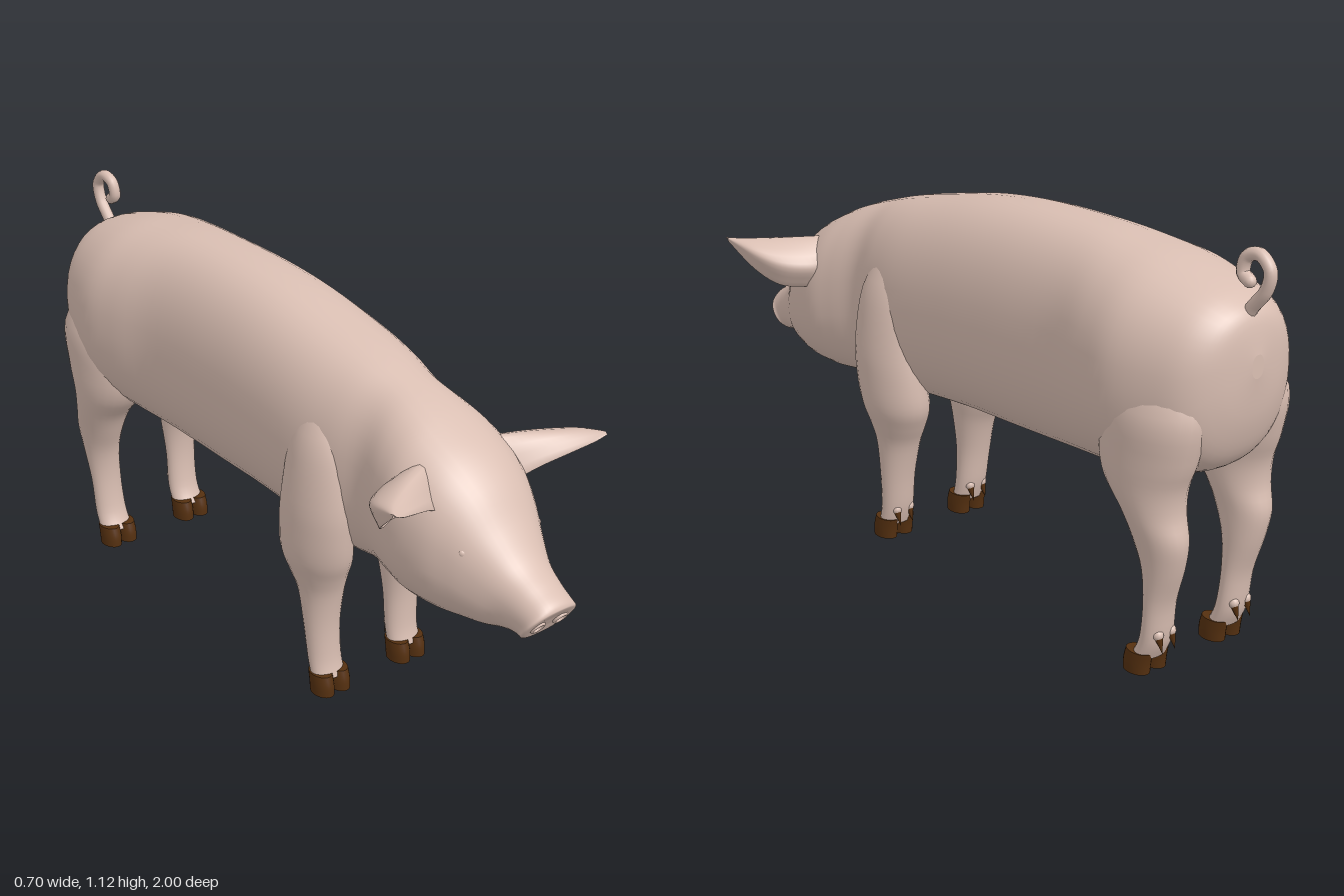
import * as THREE from 'three';

const skin = new THREE.MeshStandardMaterial({ color: 0xd9beb2 });
skin.name = 'pink skin';
const horn = new THREE.MeshStandardMaterial({ color: 0x553010 });
horn.name = 'brown hoof';

// Catmull-Rom through a list of parameter rows
function rowAt(rows, t) {
  const last = rows.length - 1;
  const i = Math.min(Math.floor(t), last - 1), f = t - i;
  const a = rows[Math.max(i - 1, 0)], b = rows[i], c = rows[i + 1], d = rows[Math.min(i + 2, last)];
  return b.map((_, k) => b[k] + 0.5 * f * (c[k] - a[k] +
    f * (2 * a[k] - 5 * b[k] + 4 * c[k] - d[k] + f * (3 * (b[k] - c[k]) + d[k] - a[k]))));
}

// Smooth skin over closed rings; ringOf turns a row into a list of points
function loft(rows, ringOf, steps = 4, flip = false) {
  const pos = [], idx = [];
  const tri = (a, b, c) => (flip ? idx.push(a, c, b) : idx.push(a, b, c));
  const count = (rows.length - 1) * steps;
  const rings = [];
  for (let i = 0; i <= count; i++) rings.push(ringOf(rowAt(rows, i / steps)));
  const n = rings[0].length;
  rings.forEach((r) => r.forEach((p) => pos.push(p.x, p.y, p.z)));
  for (let i = 0; i < count; i++) {
    for (let j = 0; j < n; j++) {
      const a = i * n + j, b = i * n + (j + 1) % n;
      tri(a, b, a + n);
      tri(b, b + n, a + n);
    }
  }
  // end caps with their own vertices
  [rings[0], rings[count]].forEach((r, end) => {
    const start = pos.length / 3;
    const mid = new THREE.Vector3();
    r.forEach((p) => { pos.push(p.x, p.y, p.z); mid.addScaledVector(p, 1 / n); });
    pos.push(mid.x, mid.y, mid.z);
    for (let j = 0; j < n; j++) {
      const a = start + j, b = start + (j + 1) % n;
      if (end) tri(a, b, start + n); else tri(b, a, start + n);
    }
  });
  const g = new THREE.BufferGeometry();
  g.setAttribute('position', new THREE.Float32BufferAttribute(pos, 3));
  g.setIndex(idx);
  g.computeVertexNormals();
  return g;
}

const around = (n, fn) => Array.from({ length: n }, (_, j) => {
  const a = (j / n) * Math.PI * 2;
  return fn(Math.cos(a), Math.sin(a));
});
const soften = (v) => Math.sign(v) * Math.abs(v) ** 0.88;

// Body rows: z, bottom, top, half width, forward lean
const bodyRows = [
  [-0.957, 0.80, 0.86, 0.02, 0], [-0.94, 0.68, 0.945, 0.11, 0], [-0.90, 0.58, 0.985, 0.175, 0],
  [-0.83, 0.53, 1.015, 0.215, 0], [-0.70, 0.49, 1.047, 0.247, 0], [-0.58, 0.475, 1.062, 0.235, 0],
  [-0.43, 0.46, 1.073, 0.208, 0], [-0.20, 0.45, 1.07, 0.205, 0], [0, 0.445, 1.05, 0.206, 0],
  [0.20, 0.43, 1.01, 0.205, 0], [0.33, 0.42, 0.98, 0.188, 0], [0.43, 0.42, 0.95, 0.165, 0],
  [0.52, 0.41, 0.92, 0.184, 0], [0.60, 0.405, 0.885, 0.2, 0], [0.69, 0.405, 0.835, 0.186, 0],
  [0.76, 0.41, 0.775, 0.155, 0], [0.82, 0.415, 0.69, 0.122, 0.05], [0.87, 0.425, 0.62, 0.095, 0.2],
  [0.915, 0.432, 0.58, 0.082, 0.45], [0.95, 0.434, 0.555, 0.078, 0.65], [0.964, 0.434, 0.54, 0.081, 0.7],
  [0.969, 0.445, 0.53, 0.066, 0.7], [0.966, 0.47, 0.505, 0.03, 0.7], [0.966, 0.485, 0.49, 0.004, 0.7],
];
const bodyRing = ([z, y0, y1, w, lean]) => around(40, (c, s) => {
  const dy = soften(s) * (y1 - y0) / 2;
  return new THREE.Vector3(soften(c) * w, (y0 + y1) / 2 + dy, z + lean * dy);
});

// Leg rows: y, z centre, z radius, x centre, x radius
const frontLegRows = [
  [0.85, 0.26, 0.06, 0.12, 0.05], [0.75, 0.27, 0.10, 0.145, 0.07], [0.60, 0.27, 0.12, 0.157, 0.08],
  [0.50, 0.262, 0.122, 0.158, 0.081], [0.42, 0.255, 0.115, 0.15, 0.083], [0.36, 0.255, 0.09, 0.143, 0.072],
  [0.30, 0.26, 0.066, 0.139, 0.06], [0.20, 0.265, 0.046, 0.14, 0.052], [0.10, 0.273, 0.038, 0.137, 0.05],
  [0.045, 0.287, 0.035, 0.136, 0.05],
];
const hindLegRows = [
  [0.86, -0.75, 0.11, 0.11, 0.06], [0.72, -0.765, 0.15, 0.14, 0.095], [0.60, -0.75, 0.148, 0.146, 0.094],
  [0.52, -0.748, 0.122, 0.15, 0.086], [0.45, -0.775, 0.09, 0.15, 0.075], [0.38, -0.80, 0.08, 0.148, 0.062],
  [0.30, -0.808, 0.057, 0.143, 0.053], [0.20, -0.797, 0.036, 0.139, 0.048], [0.10, -0.785, 0.035, 0.136, 0.049],
  [0.045, -0.76, 0.035, 0.136, 0.05],
];
const legRing = (side) => ([y, z, rz, x, rx]) =>
  around(24, (c, s) => new THREE.Vector3(side * x + c * rx, y, z + s * rz));

// Ear rows: front edge, crest, back and lower edge points from root to tip
const earRows = [
  [0.11, 0.71, 0.69, 0.10, 0.82, 0.62, 0.13, 0.76, 0.57, 0.13, 0.67, 0.60],
  [0.18, 0.75, 0.725, 0.19, 0.822, 0.665, 0.20, 0.755, 0.575, 0.20, 0.685, 0.61],
  [0.26, 0.785, 0.765, 0.27, 0.822, 0.71, 0.275, 0.765, 0.615, 0.265, 0.695, 0.645],
  [0.315, 0.805, 0.787, 0.32, 0.822, 0.745, 0.325, 0.79, 0.68, 0.315, 0.74, 0.70],
  [0.347, 0.818, 0.795, 0.35, 0.822, 0.785, 0.35, 0.818, 0.775, 0.348, 0.81, 0.78],
];
const earRing = (side) => (r) => {
  const pts = [0, 3, 6, 9].map((k) => new THREE.Vector3(side * r[k], r[k + 1], r[k + 2]));
  const outer = new THREE.CatmullRomCurve3(pts).getPoints(14);
  const heart = pts[0].clone().lerp(pts[3], 0.5);
  return [...outer, ...outer.map((p) => p.clone().lerp(heart, 0.14)).reverse()];
};

export function createModel() {
  const pig = new THREE.Group();
  pig.name = 'pig';
  const add = (name, geo, mat = skin, parent = pig) => {
    const m = new THREE.Mesh(geo, mat);
    m.name = name;
    parent.add(m);
    return m;
  };

  add('bodyAndHead', loft(bodyRows, bodyRing, 5));

  // belly bump
  const bump = add('bellyBump', new THREE.SphereGeometry(1, 20, 14));
  bump.scale.set(0.035, 0.03, 0.075);
  bump.position.set(0, 0.468, -0.495);

  // curled tail
  const tailPath = new THREE.CatmullRomCurve3([
    [0, 0.92, -0.90], [0, 0.97, -0.93], [0, 1.02, -0.97], [0, 1.07, -0.98], [0, 1.102, -0.945],
    [0.003, 1.09, -0.91], [0.006, 1.05, -0.902], [0.008, 1.035, -0.925],
  ].map((p) => new THREE.Vector3(...p)));
  add('tail', new THREE.TubeGeometry(tailPath, 48, 0.017, 12));
  add('tailTip', new THREE.SphereGeometry(0.017, 12, 8)).position.copy(tailPath.getPoint(1));

  for (const side of [1, -1]) {
    const word = side > 0 ? 'left' : 'right';
    add(word + 'Ear', loft(earRows, earRing(side), 5, side > 0));

    // eye with a lid fold
    const eye = new THREE.Group();
    eye.name = word + 'Eye';
    eye.position.set(side * 0.124, 0.64, 0.783);
    eye.rotation.y = side * 0.85;
    pig.add(eye);
    add('eyeball', new THREE.SphereGeometry(0.012, 14, 10), skin, eye);
    const lid = add('eyelid', new THREE.TorusGeometry(0.017, 0.005, 8, 18, Math.PI), skin, eye);
    lid.scale.y = 0.7;

    // nostril rim lying on the sloped snout disc
    const rim = add(word + 'NostrilRim', new THREE.TorusGeometry(0.017, 0.005, 8, 20));
    rim.position.set(side * 0.038, 0.484, 0.966);
    rim.rotation.x = 0.6;

    for (const [end, rows, toeZ, clawY, clawZ] of [
      ['Front', frontLegRows, 0.297, 0.068, 0.24], ['Hind', hindLegRows, -0.748, 0.095, -0.823],
    ]) {
      const leg = new THREE.Group();
      leg.name = word + end + 'Leg';
      pig.add(leg);
      add('leg', loft(rows, legRing(side)), skin, leg);
      // cloven hoof and dewclaws
      for (const k of [-1, 1]) {
        const x = 0.136 + k * 0.0275;
        add('toe', loft([
          [0.06, toeZ - 0.008, 0.04, x, 0.027], [0.03, toeZ - 0.001, 0.041, x, 0.0285],
          [0, toeZ + 0.001, 0.04, x, 0.028],
        ], legRing(side)), horn, leg);
        const claw = add('dewclaw', new THREE.ConeGeometry(0.012, 0.045, 10), horn, leg);
        claw.position.set(side * 0.136 + k * 0.022, clawY, clawZ);
        claw.rotation.x = Math.PI + 0.35;
        const stub = add('dewclawStub', new THREE.SphereGeometry(0.015, 12, 8), skin, leg);
        stub.position.set(side * 0.136 + k * 0.022, clawY + 0.025, clawZ + 0.01);
      }
    }
  }
  return pig;
}
